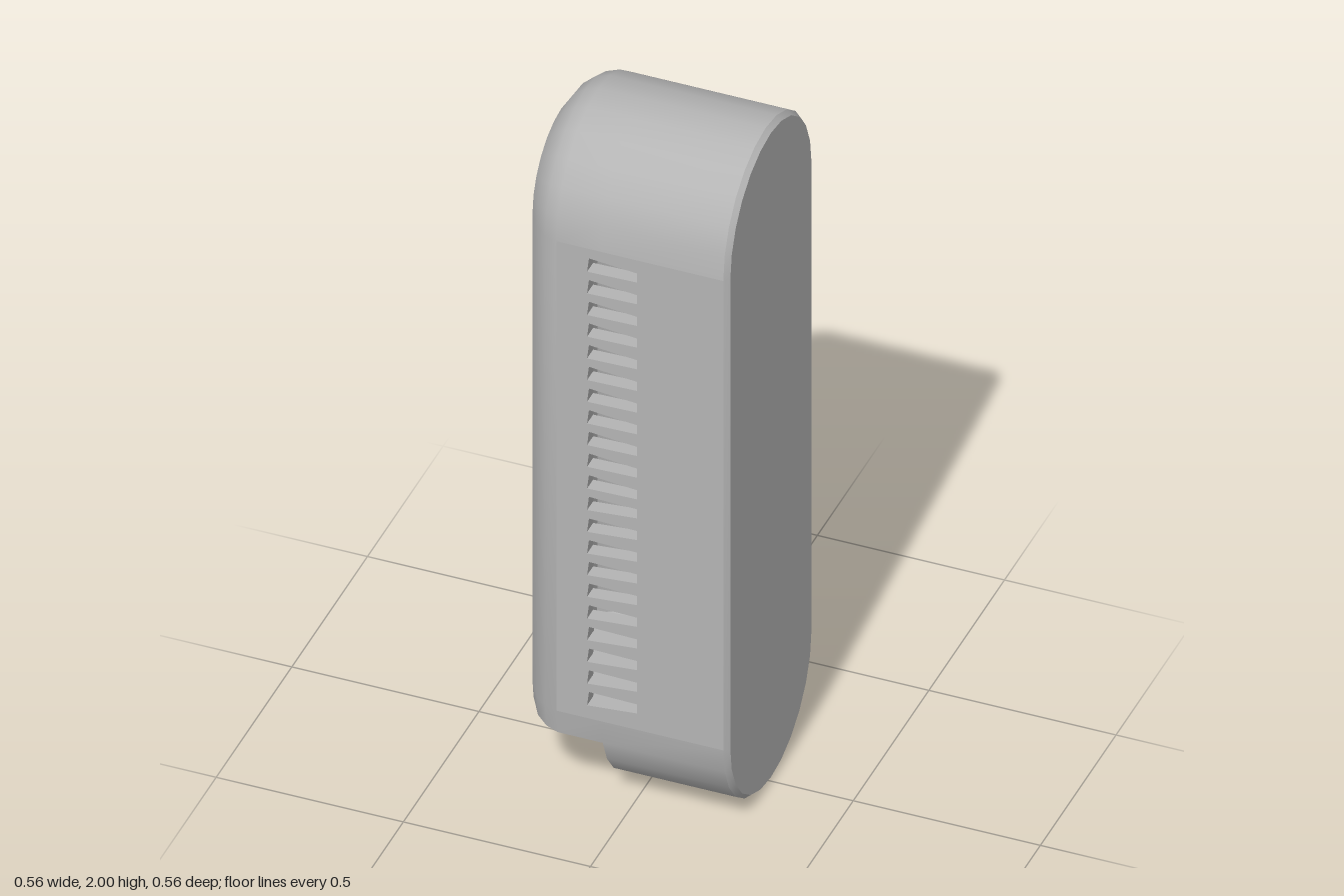
import * as THREE from 'three';
import { toCreasedNormals } from 'three/addons/utils/BufferGeometryUtils.js';

const R = 0.28, ARC = 12;

// Upright stadium outline as [z, y] pairs, shrunk by inset and cut flat at floor
function outline(inset, floor) {
  const r = R - inset, pts = [];
  for (let half = 0; half < 2; half++) {
    const cy = half ? R : 2 - R;
    for (let i = 0; i <= ARC; i++) {
      const a = Math.PI * (half + i / ARC);
      pts.push([r * Math.cos(a), Math.max(floor, cy + r * Math.sin(a))]);
    }
  }
  return pts;
}

// Hole or outline path from [x, y] pairs
function trace(path, pts) {
  path.setFromPoints(pts.map(([x, y]) => new THREE.Vector2(x, y)));
  path.closePath();
  return path;
}

const rect = (x0, x1, y0, y1) =>
  trace(new THREE.Path(), [[x0, y0], [x0, y1], [x1, y1], [x1, y0]]);

// Rounded housing skin lofted along x; the flat side walls are left open for the grilles
function shellGeometry() {
  const sections = [ // x, inset, floor
    [0.28, 0.012, 0], [0.266, 0, 0], [-0.06, 0, 0], [-0.06, 0, 0.2], [-0.18, 0, 0.2],
    [-0.215, 0.012, 0.2], [-0.248, 0.038, 0.2], [-0.28, 0.09, 0.2],
  ];
  const loops = sections.map(([x, inset, floor]) => outline(inset, floor).map(([z, y]) => [x, y, z]));
  const n = loops[0].length, pos = [];
  for (let i = 0; i < loops.length - 1; i++) {
    for (let j = 0; j < n; j++) {
      const wall = j === ARC || j === n - 1;
      if (wall && i >= 1 && i <= 3) continue;
      const k = (j + 1) % n;
      const a = loops[i][j], b = loops[i][k], c = loops[i + 1][k], d = loops[i + 1][j];
      pos.push(...a, ...b, ...d, ...b, ...c, ...d);
    }
  }
  const geo = new THREE.BufferGeometry();
  geo.setAttribute('position', new THREE.Float32BufferAttribute(pos, 3));
  return toCreasedNormals(geo, 0.6);
}

// Side wall pierced by a ladder of tapered vent slots
function grilleGeometry(isBack) {
  const wall = trace(new THREE.Shape(), [[-0.18, R], [0.266, R], [0.266, 2 - R], [-0.18, 2 - R]]);
  for (let i = 0; i < 21; i++) {
    if (isBack && i >= 9 && i <= 11) continue;
    const y = 0.34 + i * 0.0665;
    const skew = i < 10 ? 0.004 : -0.004;
    wall.holes.push(trace(new THREE.Path(), [
      [-0.098, y - 0.021], [-0.093, y + 0.021], [0.035, y + 0.014 + skew], [0.035, y - 0.014 + skew],
    ]));
  }
  // square port beside the gap in the back slots
  if (isBack) wall.holes.push(rect(-0.17, -0.1, 0.95, 1.05));
  return new THREE.ExtrudeGeometry(wall, { depth: 0.04, bevelEnabled: false });
}

// End plate across the housing, optionally with a window cut in it
function endGeometry(inset, floor, hole) {
  const shape = trace(new THREE.Shape(), outline(inset, floor));
  if (hole) shape.holes.push(hole);
  return new THREE.ExtrudeGeometry(shape, { depth: 0.02, bevelEnabled: false });
}

export function createModel() {
  const model = new THREE.Group();
  model.name = 'ventedHousing';
  const grey = new THREE.MeshStandardMaterial({ color: 0xb4b4b4, side: THREE.DoubleSide });
  grey.name = 'plain grey';

  const add = (name, geo, x = 0, y = 0, z = 0) => {
    const mesh = new THREE.Mesh(geo, grey);
    mesh.name = name;
    mesh.position.set(x, y, z);
    model.add(mesh);
    return mesh;
  };

  add('shell', shellGeometry());

  // slotted walls
  add('frontGrille', grilleGeometry(false), 0, 0, R - 0.04);
  add('backGrille', grilleGeometry(true), 0, 0, -R);

  // flat end on the left, running down to the foot
  add('leftEnd', endGeometry(0.012, 0).rotateY(Math.PI / 2), 0.26);

  // rounded end on the right with a shallow recessed panel
  add('rightEnd', endGeometry(0.09, 0.2, rect(-0.11, 0.11, 0.45, 1.55)).rotateY(-Math.PI / 2), -0.26);
  add('recessPanel', new THREE.BoxGeometry(0.01, 1.14, 0.26), -0.257, 1, 0);

  return model;
}
